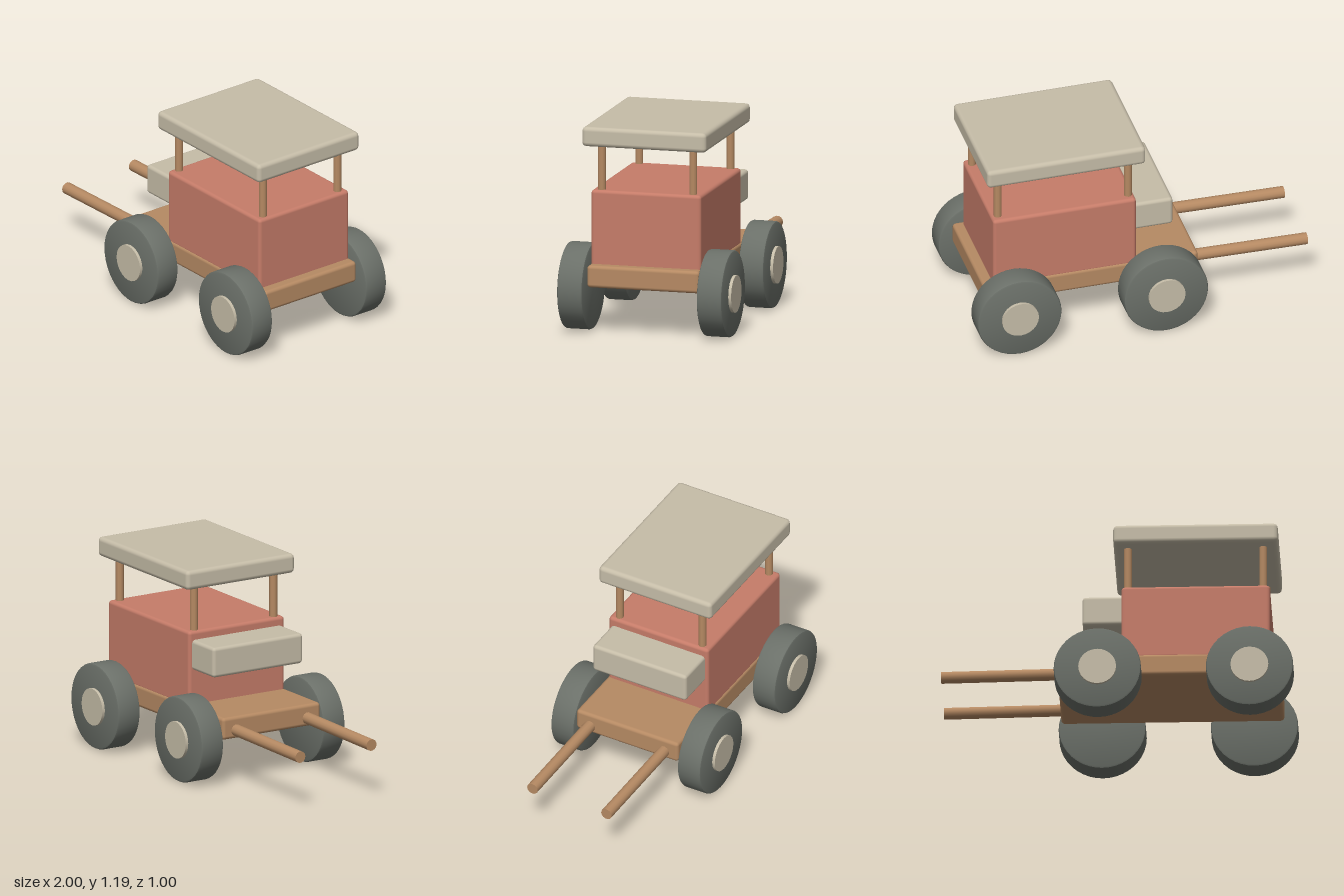
import * as THREE from 'three';
import { toCreasedNormals } from 'three/addons/utils/BufferGeometryUtils.js';
import { RoundedBoxGeometry } from 'three/addons/geometries/RoundedBoxGeometry.js';

function material(name, color) {
  const m = new THREE.MeshStandardMaterial({ color });
  m.name = name;
  return m;
}

export function createModel() {
  const model = new THREE.Group();
  model.name = 'cart';
  const cream = material('cream', 0xc6bda8);
  const red = material('brick red', 0xc67c69);
  const wood = material('wood', 0xb68a63);
  const rubber = material('grey rubber', 0x6b7069);

  function add(name, geometry, mat, parent = model) {
    const mesh = new THREE.Mesh(geometry, mat);
    mesh.name = name;
    parent.add(mesh);
    return mesh;
  }

  // Rounded block given by its x range, y range and half depth
  function block(name, x0, x1, y0, y1, halfZ, mat, radius = 0.02) {
    const geometry = new RoundedBoxGeometry(x1 - x0, y1 - y0, halfZ * 2, 2, radius);
    add(name, geometry, mat).position.set((x0 + x1) / 2, (y0 + y1) / 2, 0);
  }

  // Round rod between two points
  function rod(name, from, to, radius, sides, mat) {
    const dir = to.clone().sub(from);
    const mesh = add(name, new THREE.CylinderGeometry(radius, radius, dir.length(), sides), mat);
    mesh.position.copy(from).add(to).multiplyScalar(0.5);
    mesh.quaternion.setFromUnitVectors(new THREE.Vector3(0, 1, 0), dir.normalize());
  }

  block('chassis', -0.34, 0.92, 0.272, 0.4, 0.33, wood);
  block('body', 0.02, 0.86, 0.38, 0.825, 0.323, red);
  block('hood', -0.2, 0.05, 0.6, 0.775, 0.303, cream);
  block('roof', -0.025, 0.905, 1.08, 1.193, 0.365, cream, 0.025);

  // Wheel: bevelled tyre with a disc hub on the outer face
  const R = 0.247, half = 0.074, bevel = 0.012;
  const profile = [
    [0, -half], [R - bevel, -half], [R - bevel * 0.3, -half + bevel * 0.3], [R, -half + bevel],
    [R, half - bevel], [R - bevel * 0.3, half - bevel * 0.3], [R - bevel, half], [0, half],
  ].map(([r, y]) => new THREE.Vector2(r, y));
  const tyreGeometry = toCreasedNormals(new THREE.LatheGeometry(profile, 40), 0.6);
  const hubGeometry = new THREE.CylinderGeometry(0.107, 0.107, 0.04, 24);

  for (const side of [1, -1]) {
    const label = side > 0 ? 'front' : 'back';

    for (const x of [-0.11, 0.75]) {
      const wheel = new THREE.Group();
      wheel.name = label + 'Wheel';
      wheel.position.set(x, R + 0.003, side * 0.41);
      wheel.rotation.x = side * Math.PI / 2;
      add('tyre', tyreGeometry, rubber, wheel);
      add('hub', hubGeometry, cream, wheel).position.y = 0.071;
      model.add(wheel);
    }

    // Roof posts
    for (const x of [0.056, 0.82]) {
      rod(label + 'Post', new THREE.Vector3(x, 0.8, side * 0.268),
        new THREE.Vector3(x, 1.1, side * 0.268), 0.023, 10, wood);
    }

    // Pulling shaft, sloping slightly
    rod(label + 'Shaft', new THREE.Vector3(-1, 0.311, side * 0.24),
      new THREE.Vector3(-0.28, 0.322, side * 0.24), 0.034, 14, wood);
  }

  return model;
}
